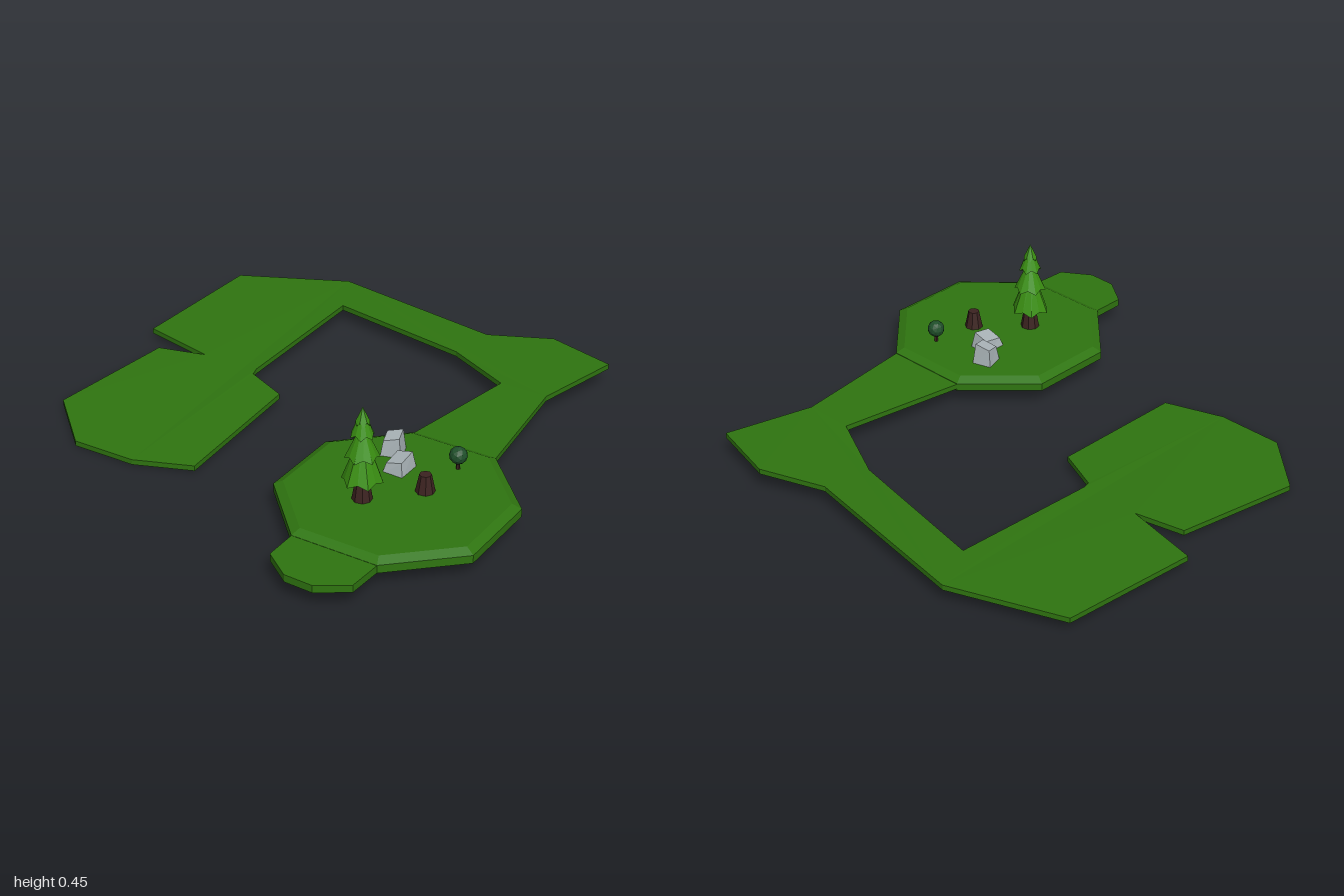
import * as THREE from 'three';

const mat = (name, color, side = THREE.FrontSide) => {
  const m = new THREE.MeshStandardMaterial({ color, side, flatShading: true });
  m.name = name;
  return m;
};

// Outlines as [x, z, top height]
const PATH = [
  [-1, -0.47, 0.06], [-0.64, -0.72, 0.071], [0.05, -0.76, 0.078], [0.26, -0.9, 0.086],
  [0.53, -0.89, 0.086], [0.515, -0.55, 0.084], [0.665, -0.1, 0.086], [0.35, -0.03, 0.086],
  [0.335, -0.51, 0.083], [0.055, -0.58, 0.077], [-0.515, -0.56, 0.068], [-0.415, 0, 0.05],
  [-0.4, 0.03, 0.048], [-0.225, 0.065, 0.047], [-0.105, 0.59, 0.026], [-0.295, 0.71, 0.022],
  [-0.535, 0.765, 0.02], [-0.78, 0.62, 0.026], [-0.805, 0.135, 0.043], [-0.635, 0.055, 0.047],
  [-0.93, 0.055, 0.046],
];
const ISLAND = [
  [0.35, -0.03], [0.665, -0.1], [0.935, 0.08], [1, 0.395], [0.82, 0.65],
  [0.505, 0.72], [0.24, 0.545], [0.175, 0.23],
].map(([x, z]) => [x, z, 0.088]);
const LOBE = [
  [0.505, 0.72], [0.82, 0.65], [0.84, 0.78], [0.75, 0.87], [0.645, 0.89], [0.53, 0.84],
].map(([x, z]) => [x, z, 0.087]);

// Slab with a sloping top; an optional inset gives a raised crown
function slab(outline, thickness, crown) {
  let pts = outline.map(([x, z, y]) => new THREE.Vector3(x, y, z));
  const flat = (list) => list.map((p) => new THREE.Vector2(p.x, -p.z));
  if (THREE.ShapeUtils.isClockWise(flat(pts))) pts.reverse();
  const low = pts.map((p) => new THREE.Vector3(p.x, p.y - thickness, p.z));
  const out = [];
  const tri = (...corners) => corners.forEach((p) => out.push(p.x, p.y, p.z));
  const band = (a, b) => a.forEach((p, i) => {
    const j = (i + 1) % a.length;
    tri(p, a[j], b[j]);
    tri(p, b[j], b[i]);
  });
  const faces = THREE.ShapeUtils.triangulateShape(flat(pts), []);
  band(low, pts);
  let top = pts;
  if (crown) {
    const c = pts.reduce((s, p) => s.add(p), new THREE.Vector3()).divideScalar(pts.length);
    top = pts.map((p) => p.clone().lerp(c, crown.inset).setY(crown.y));
    band(pts, top);
  }
  for (const [a, b, c] of faces) {
    tri(top[a], top[b], top[c]);
    tri(low[c], low[b], low[a]);
  }
  const g = new THREE.BufferGeometry();
  g.setAttribute('position', new THREE.Float32BufferAttribute(out, 3));
  g.computeVertexNormals();
  return g;
}

// Branch tier with a jagged, drooping hem
function tier(radius, topRadius, height) {
  const sides = 12;
  const g = new THREE.CylinderGeometry(topRadius, radius, height, sides, 1);
  const p = g.attributes.position;
  for (let i = 0; i < p.count; i++) {
    const r = Math.hypot(p.getX(i), p.getZ(i));
    if (p.getY(i) > 0 || r < 0.001) continue;
    const step = Math.round((Math.atan2(p.getX(i), p.getZ(i)) / (2 * Math.PI)) * sides);
    if (Math.abs(step) % 2 === 1) {
      p.setXYZ(i, p.getX(i) * 0.86, p.getY(i) + 0.014, p.getZ(i) * 0.86);
    }
  }
  g.computeVertexNormals();
  return g;
}

// Chipped block: a box with a narrowed, tilted top
function rock(w, h, d) {
  const g = new THREE.BoxGeometry(w, h, d);
  const p = g.attributes.position;
  for (let i = 0; i < p.count; i++) {
    if (p.getY(i) < 0) continue;
    const x = p.getX(i), z = p.getZ(i);
    p.setXYZ(i, x * 0.75, p.getY(i) + x * 0.2 - z * 0.12, z * 0.75);
  }
  g.computeVertexNormals();
  return g;
}

export function createModel() {
  const root = new THREE.Group();
  root.name = 'fairwayIsland';
  const grass = mat('grass green', 0x2f7510);
  const needles = mat('needle green', 0x3a8f12);
  const bark = mat('bark brown', 0x3c2320);
  const leaf = mat('bush green', 0x1f4f2a);
  const stone = mat('stone grey', 0xabb5b9);

  const add = (name, geometry, material, x = 0, y = 0, z = 0, parent = root) => {
    const m = new THREE.Mesh(geometry, material);
    m.name = name;
    m.position.set(x, y, z);
    parent.add(m);
    return m;
  };

  // Ground
  add('pathAndLowerGreen', slab(PATH, 0.02), grass);
  add('island', slab(ISLAND, 0.03, { inset: 0.08, y: 0.104 }), grass);
  add('islandLobe', slab(LOBE, 0.028), grass);

  // Pine tree
  const tree = new THREE.Group();
  tree.name = 'pineTree';
  tree.position.set(0.533, 0.1, 0.42);
  root.add(tree);
  add('trunk', new THREE.CylinderGeometry(0.02, 0.036, 0.1, 8), bark, 0, 0.05, 0, tree);
  [[0.072, 0.02, 0.075, 0.14], [0.06, 0.014, 0.105, 0.1], [0.042, 0.008, 0.18, 0.085],
    [0.027, 0.001, 0.285, 0.062]].forEach(([r, t, y, h], i) => {
    const base = [0.075, 0.165, 0.245, 0.29][i];
    const m = add('branchTier' + (i + 1), tier(r, t, h), needles, 0, base + h / 2, 0, tree);
    m.rotation.y = i * 0.3;
  });

  // Stump, bush and rocks
  add('stump', new THREE.CylinderGeometry(0.021, 0.035, 0.068, 8), bark, 0.65, 0.135, 0.24);
  add('bush', new THREE.IcosahedronGeometry(0.032, 1), leaf, 0.635, 0.157, 0.06);
  add('bushStem', new THREE.CylinderGeometry(0.006, 0.008, 0.04, 6), bark, 0.635, 0.118, 0.06);
  add('rockTall', rock(0.075, 0.075, 0.075), stone, 0.405, 0.134, 0.135).rotation.y = 0.5;
  add('rockLow', rock(0.08, 0.055, 0.095), stone, 0.495, 0.123, 0.2).rotation.y = 0.2;
  return root;
}
